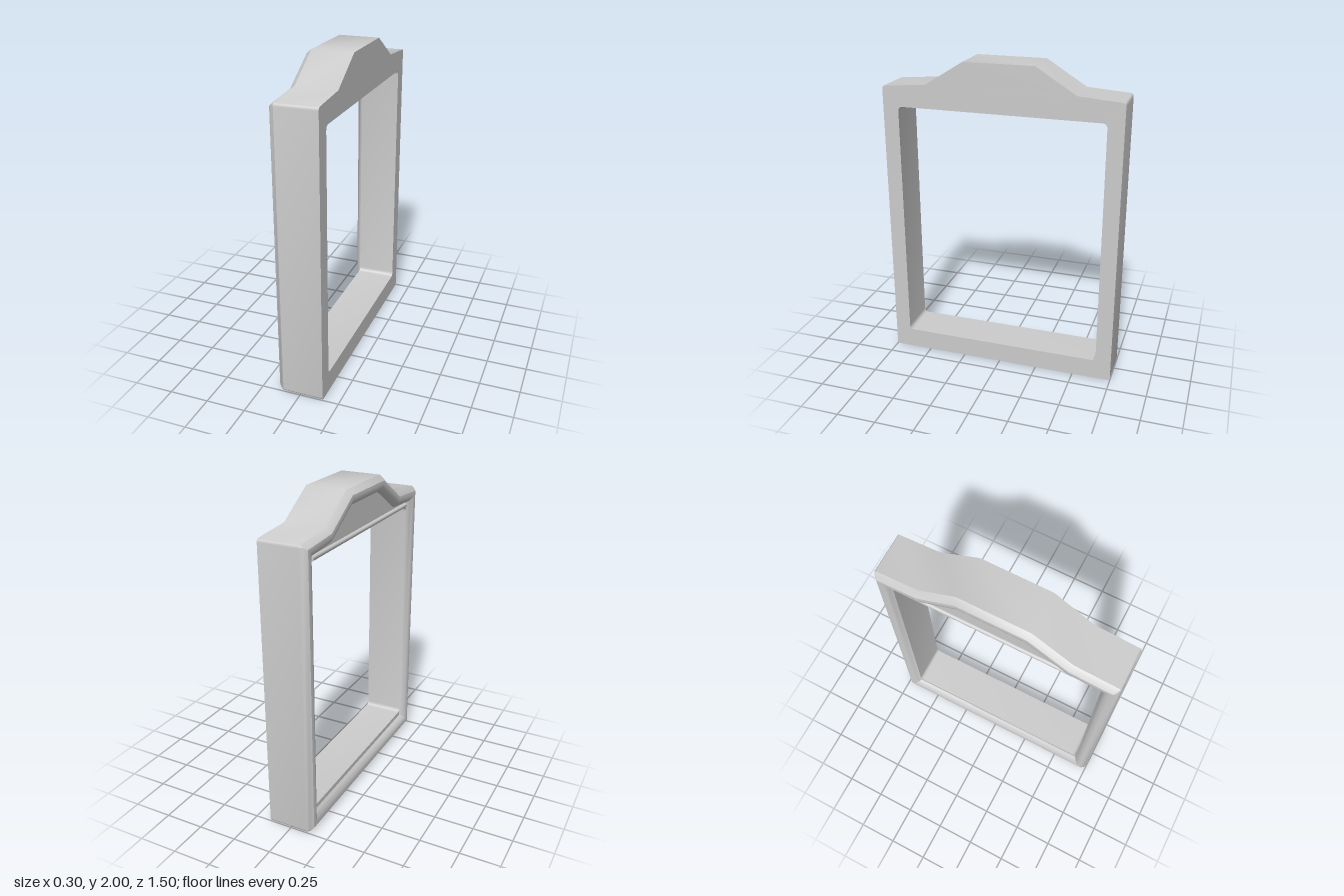
import * as THREE from 'three';
import { toCreasedNormals } from 'three/addons/utils/BufferGeometryUtils.js';

const BACK = -0.11, FACE = 0.148;
const material = new THREE.MeshStandardMaterial({ color: 0xcccccc });

// Outer contour, counter-clockwise, with a raised crest; r is the corner rounding
const contour = [
  [-0.75, 0, 0.02], [0.75, 0, 0.02], [0.75, 1.825, 0.02], [0.47, 1.845, 0],
  [0.22, 2, 0], [-0.22, 2, 0], [-0.47, 1.845, 0], [-0.75, 1.825, 0.02],
];
const opening = [[-0.65, 0.13, 0.03], [0.65, 0.13, 0.03], [0.65, 1.7, 0.03], [-0.65, 1.7, 0.03]];

// Offsets a closed contour inward by t with mitred, slightly rounded corners
function ring(points, t) {
  const n = points.length;
  const v = points.map(p => new THREE.Vector2(p[0], p[1]));
  const moved = v.map((p, i) => {
    const a = p.clone().sub(v[(i + n - 1) % n]).normalize();
    const b = v[(i + 1) % n].clone().sub(p).normalize();
    const na = new THREE.Vector2(-a.y, a.x), nb = new THREE.Vector2(-b.y, b.x);
    return p.clone().addScaledVector(na.clone().add(nb), t / (1 + na.dot(nb)));
  });
  const out = [];
  moved.forEach((p, i) => {
    const r = points[i][2];
    if (!r) { out.push(p); return; }
    const k = Math.max(r - t, 0.002);
    const a = p.clone().add(moved[(i + n - 1) % n].clone().sub(p).setLength(k));
    const b = p.clone().add(moved[(i + 1) % n].clone().sub(p).setLength(k));
    out.push(...new THREE.QuadraticBezierCurve(a, p, b).getPoints(4));
  });
  return out;
}

function addMesh(group, name, geometry) {
  geometry.rotateY(Math.PI / 2);
  const mesh = new THREE.Mesh(toCreasedNormals(geometry, 0.6), material);
  mesh.name = name;
  group.add(mesh);
}

export function createModel() {
  const group = new THREE.Group();
  group.name = 'frame';

  // Main frame with its rectangular opening
  const shape = new THREE.Shape(ring(contour, 0));
  shape.holes.push(new THREE.Path(ring(opening, 0)));
  const body = new THREE.ExtrudeGeometry(shape, { depth: FACE - BACK, bevelEnabled: false });
  addMesh(group, 'frameBody', body.translate(0, 0, BACK));

  // Rounded moulding following the outer contour: [inset, height]
  const profile = [[0, 0], [0.012, 0.018], [0.03, 0.036], [0.05, 0.038], [0.07, 0.033], [0.088, 0.018], [0.1, 0]];
  const rings = profile.map(([t]) => ring(contour, t));
  const n = rings[0].length, positions = [], index = [];
  rings.forEach((pts, k) => pts.forEach(p => positions.push(p.x, p.y, BACK - profile[k][1])));
  for (let k = 0; k < rings.length - 1; k++) {
    for (let i = 0; i < n; i++) {
      const j = (i + 1) % n, a = k * n + i, b = k * n + j;
      index.push(a, b + n, b, a, a + n, b + n);
    }
  }
  const moulding = new THREE.BufferGeometry();
  moulding.setAttribute('position', new THREE.Float32BufferAttribute(positions, 3));
  moulding.setIndex(index);
  addMesh(group, 'moulding', moulding);

  // Slim bead above the opening
  const bead = new THREE.CylinderGeometry(0.016, 0.016, 1.26, 12).rotateZ(Math.PI / 2);
  addMesh(group, 'topBead', bead.translate(0, 1.718, BACK));

  return group;
}
